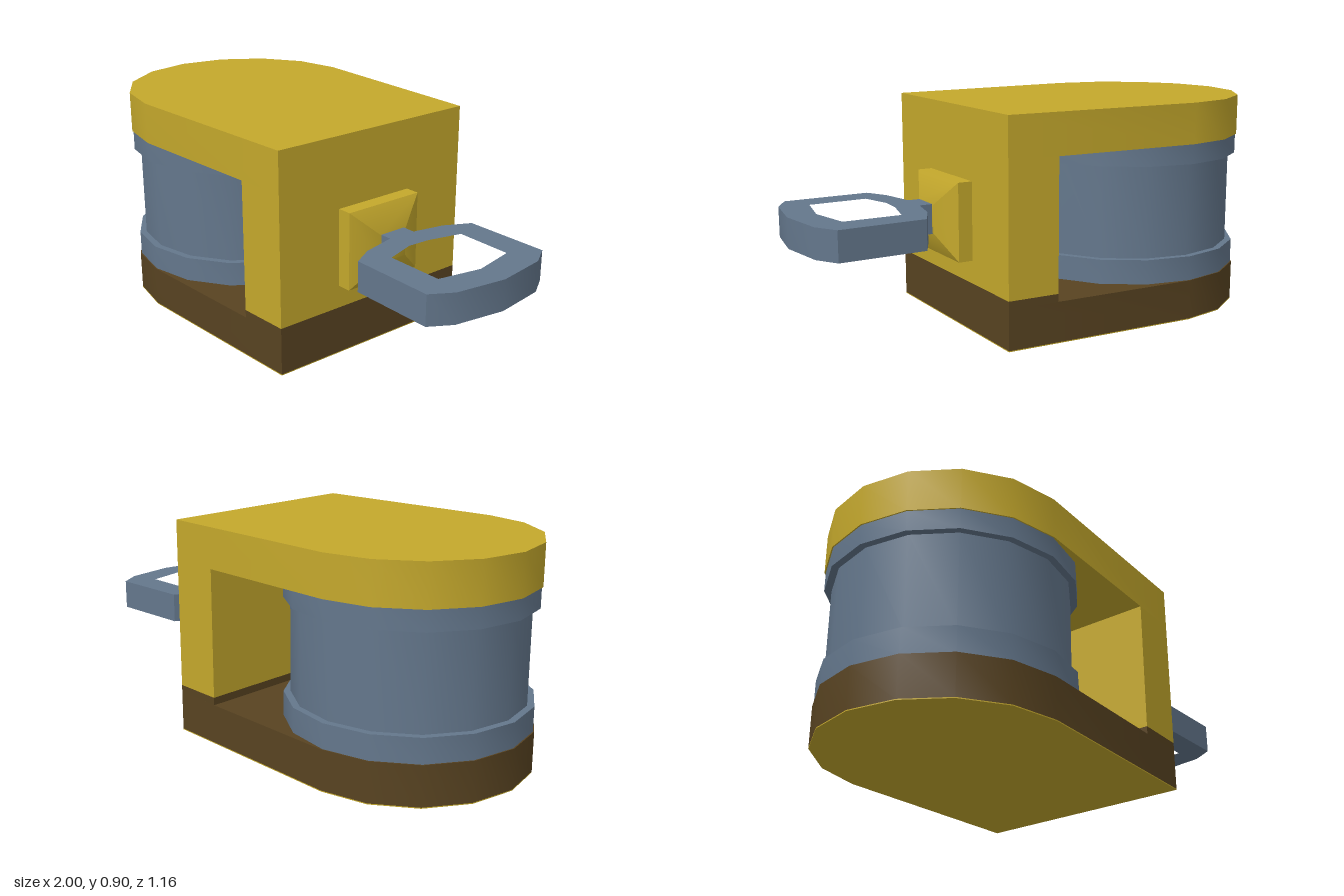
import * as THREE from 'three';
import { toCreasedNormals } from 'three/addons/utils/BufferGeometryUtils.js';

const CREASE = 0.5;

// Upright prism from [x, z] corners between two heights
function prism(points, y0, y1, hole) {
  const flat = (list) => list.map(([x, z]) => new THREE.Vector2(x, -z));
  const shape = new THREE.Shape(flat(points));
  if (hole) shape.holes.push(new THREE.Path(flat(hole)));
  const geo = new THREE.ExtrudeGeometry(shape, { depth: y1 - y0, bevelEnabled: false });
  geo.rotateX(-Math.PI / 2).translate(0, y0, 0);
  return toCreasedNormals(geo, CREASE);
}

export function createModel() {
  const model = new THREE.Group();
  model.name = 'pulleyBlock';

  const mat = (name, color) => {
    const m = new THREE.MeshStandardMaterial({ color });
    m.name = name;
    return m;
  };
  const yellow = mat('yellowPaint', 0xc4a82c);
  const brown = mat('brownBase', 0x584321);
  const steel = mat('blueSteel', 0x64778c);

  const add = (parent, name, geo, material) => {
    const mesh = new THREE.Mesh(geo, material);
    mesh.name = name;
    parent.add(mesh);
    return mesh;
  };

  // Housing frame: origin on the wheel axis, local +x toward the link
  const housing = new THREE.Group();
  housing.name = 'housing';
  housing.position.set(-0.505, 0, -0.085);
  housing.rotation.y = THREE.MathUtils.degToRad(-14.7);
  model.add(housing);

  // Plan outline: half round with straight sides tapering to a flat end
  const END = 0.846, INNER = 0.63;
  const outline = [[END, -0.4625], [END, 0.4625]];
  for (let i = 0; i <= 8; i++) {
    const a = Math.PI / 2 + (i * Math.PI) / 8;
    outline.push([0.5 * Math.cos(a), 0.5 * Math.sin(a)]);
  }
  const wall = [[END, -0.4625], [END, 0.4625], [INNER, 0.472], [INNER, -0.472]];

  add(housing, 'underside', prism(outline, 0, 0.004), yellow);
  add(housing, 'base', prism(outline, 0.004, 0.168), brown);
  add(housing, 'wallFoot', prism(wall, 0.168, 0.2), brown);
  add(housing, 'endWall', prism(wall, 0.2, 0.737), yellow);
  add(housing, 'topPlate', prism(outline, 0.737, 0.905), yellow);

  // Flanged wheel between the plates
  const profile = [
    [0, 0.168], [0.495, 0.168], [0.495, 0.27], [0.467, 0.27],
    [0.467, 0.655], [0.495, 0.655], [0.495, 0.737], [0, 0.737],
  ].map(([r, y]) => new THREE.Vector2(r, y));
  add(housing, 'wheel', toCreasedNormals(new THREE.LatheGeometry(profile, 16), CREASE), steel);

  // Link mount: slab and tapered boss on the end wall
  const slab = new THREE.BoxGeometry(0.06, 0.32, 0.355);
  slab.translate(END + 0.03, 0.455, 0);
  add(housing, 'mountSlab', slab, yellow);
  const boss = new THREE.CylinderGeometry(0.36 * Math.SQRT1_2, Math.SQRT1_2, 1, 4);
  boss.rotateY(Math.PI / 4).rotateZ(-Math.PI / 2);
  boss.scale(0.055, 0.32, 0.355).translate(END + 0.0875, 0.455, 0);
  add(housing, 'mountBoss', toCreasedNormals(boss, CREASE), yellow);

  // Angular link with a short neck running into the boss
  const ring = [
    [0.38, 0.09], [0.49, 0.12], [0.55, 0], [0.63, -0.088], [0.97, 0], [1, 0.1],
    [0.975, 0.31], [0.89, 0.5], [0.815, 0.572], [0.475, 0.478], [0.45, 0.38],
    [0.455, 0.232], [0.35, 0.204],
  ];
  const eye = [
    [0.65, 0.035], [0.875, 0.1], [0.865, 0.28], [0.785, 0.442],
    [0.555, 0.38], [0.55, 0.25], [0.58, 0.16],
  ];
  add(model, 'link', prism(ring, 0.393, 0.515, eye), steel);

  return model;
}
